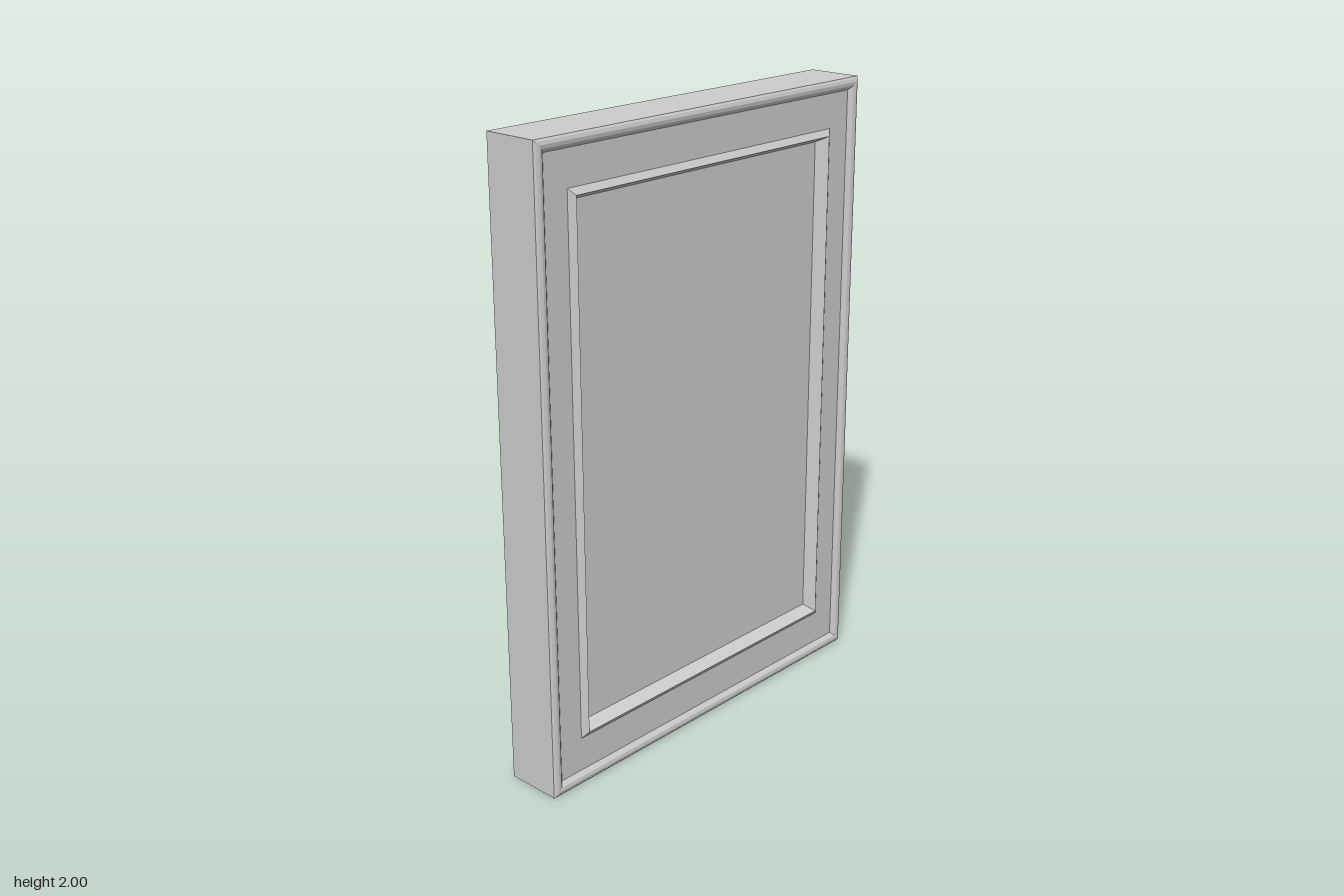
import * as THREE from 'three';

const HX = 0.69, HY = 1; // half width and half height of the whole frame

// Mitred rectangular band swept through a profile of [inset, z] points,
// running from outside to inside around a rectangle of half size hx, hy.
function band(name, hx, hy, profile) {
  const corners = [[-1, -1], [1, -1], [1, 1], [-1, 1]];
  const at = ([inset, z], c) => {
    const [sx, sy] = corners[c % 4];
    return [sx * (hx - inset), HY + sy * (hy - inset), z];
  };
  const positions = [];
  for (let p = 0; p < profile.length - 1; p++) {
    for (let c = 0; c < 4; c++) {
      const a = at(profile[p], c), b = at(profile[p], c + 1);
      const d = at(profile[p + 1], c + 1), e = at(profile[p + 1], c);
      positions.push(...a, ...b, ...d, ...a, ...d, ...e);
    }
  }
  const geometry = new THREE.BufferGeometry();
  geometry.setAttribute('position', new THREE.Float32BufferAttribute(positions, 3));
  geometry.computeVertexNormals();
  return part(name, geometry);
}

function part(name, geometry) {
  const material = new THREE.MeshStandardMaterial({ color: 0xcccccc, side: THREE.DoubleSide });
  const mesh = new THREE.Mesh(geometry, material);
  mesh.name = name;
  return mesh;
}

export function createModel() {
  const group = new THREE.Group();
  group.name = 'panelledFrame';

  // Thin side walls, open at the back
  group.add(band('sideWalls', HX, HY, [[0, -0.095], [0, 0.087]]));

  // Bevelled rim along the outer edge, stepping down to the frame face
  group.add(band('outerRim', HX, HY, [[0, 0.087], [0.006, 0.092], [0.016, 0.095], [0.027, 0.093], [0.04, 0.08]]));

  // Flat frame face: the outer and inner borders differ in proportion
  const outer = new THREE.Shape();
  const rect = (path, x, y) => path.moveTo(-x, -y).lineTo(x, -y).lineTo(x, y).lineTo(-x, y).closePath();
  rect(outer, HX - 0.04, HY - 0.04);
  const hole = new THREE.Path();
  const BX = 0.565, BY = 0.85;
  rect(hole, BX, BY);
  outer.holes.push(hole);
  const face = part('frameFace', new THREE.ShapeGeometry(outer));
  face.position.set(0, HY, 0.08);
  group.add(face);

  // Raised bead sloping down to the recessed panel
  group.add(band('innerBead', BX, BY, [[0, 0.08], [0.02, 0.095], [0.04, 0.055]]));

  // Recessed centre panel
  const panel = part('centrePanel', new THREE.PlaneGeometry(2 * (BX - 0.04), 2 * (BY - 0.04)));
  panel.position.set(0, HY, 0.055);
  group.add(panel);

  return group;
}
